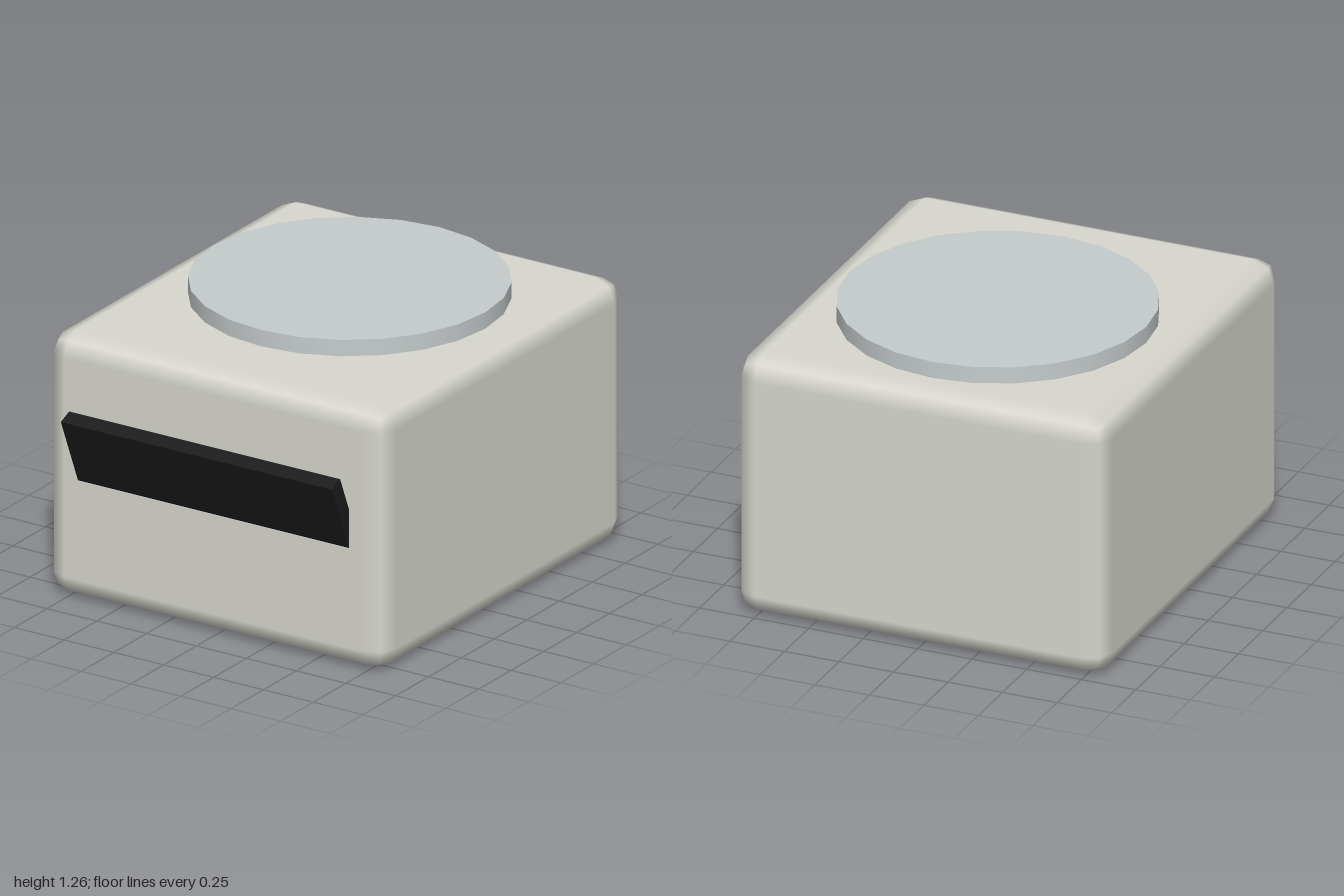
import * as THREE from 'three';
import { RoundedBoxGeometry } from 'three/addons/geometries/RoundedBoxGeometry.js';

export function createModel() {
  const model = new THREE.Group();

  function addPart(name, geometry, color, x, y, z) {
    const mesh = new THREE.Mesh(geometry, new THREE.MeshStandardMaterial({ color }));
    mesh.name = name;
    mesh.position.set(x, y, z);
    model.add(mesh);
    return mesh;
  }

  // Main casing with softly bevelled edges
  addPart('body', new RoundedBoxGeometry(1.7, 1.19, 1.87, 1, 0.1), 0xd8d8d0, 0, 0.595, -0.065);

  // Round plate on top, set slightly back from the front
  addPart('topPlate', new THREE.CylinderGeometry(0.68, 0.68, 0.1, 24), 0xc6cccc, 0, 1.214, -0.17);

  // Dark panel leaning forward, its lower half sunk into the front face
  const panel = addPart('frontPanel', new THREE.BoxGeometry(1.36, 0.51, 0.068), 0x1c1c1c, 0, 0.64, 0.87);
  panel.rotation.x = 0.4;

  return model;
}
